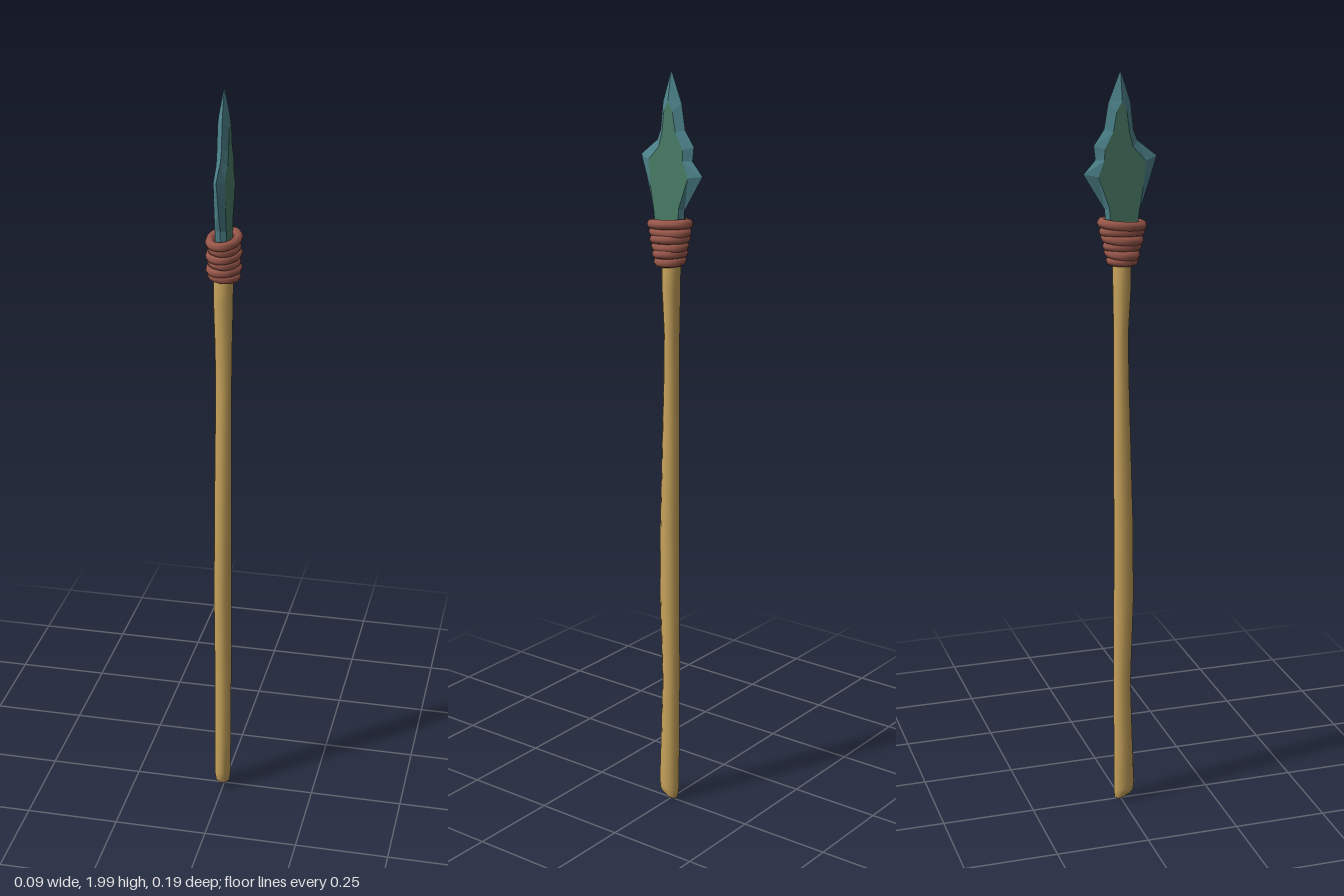
import * as THREE from 'three';
import { mergeVertices } from 'three/addons/utils/BufferGeometryUtils.js';

const mat = (color, flatShading = false) => new THREE.MeshStandardMaterial({ color, flatShading });

function add(group, name, geometry, material) {
  const mesh = new THREE.Mesh(geometry, material);
  mesh.name = name;
  group.add(mesh);
}

// Uneven wooden pole: each row is y, min x, max x, min z, max z
function shaftGeometry() {
  const rows = [
    [0.008, -0.012, 0.009, -0.012, 0.026],
    [0.016, -0.021, 0.016, -0.018, 0.036],
    [0.04, -0.025, 0.019, -0.02, 0.038],
    [0.18, -0.026, 0.02, -0.02, 0.033],
    [0.36, -0.026, 0.02, -0.021, 0.027],
    [0.6, -0.027, 0.021, -0.02, 0.035],
    [0.8, -0.026, 0.021, -0.019, 0.034],
    [1.0, -0.025, 0.02, -0.02, 0.028],
    [1.2, -0.023, 0.019, -0.019, 0.022],
    [1.33, -0.025, 0.02, -0.019, 0.019],
    [1.45, -0.028, 0.023, -0.021, 0.026],
    [1.59, -0.027, 0.024, -0.024, 0.028],
  ];
  const n = rows.length - 1;
  const geo = new THREE.CylinderGeometry(1, 1, 1, 12, n);
  const p = geo.attributes.position;
  for (let i = 0; i < p.count; i++) {
    const row = Math.round((p.getY(i) + 0.5) * n);
    const [y, x0, x1, z0, z1] = rows[row];
    const x = (x0 + x1) / 2 + p.getX(i) * (x1 - x0) / 2;
    const z = (z0 + z1) / 2 + p.getZ(i) * (z1 - z0) / 2;
    // the butt is cut at a slant
    p.setXYZ(i, x, y + (row < 3 ? (z + 0.012) * 0.4 : 0), z);
  }
  geo.deleteAttribute('normal');
  geo.deleteAttribute('uv');
  const smooth = mergeVertices(geo);
  smooth.computeVertexNormals();
  return smooth;
}

// One oval turn of cord, slightly tilted
function coilGeometry(y, rx, rz, cz, tiltX, tiltZ, turn) {
  const points = [];
  for (let i = 0; i < 12; i++) {
    const a = i / 12 * Math.PI * 2 + turn;
    const x = Math.cos(a) * rx, z = Math.sin(a) * rz;
    points.push(new THREE.Vector3(x, y + x * tiltX + z * tiltZ, z + cz));
  }
  return new THREE.TubeGeometry(new THREE.CatmullRomCurve3(points, true), 24, 0.0125, 8, true);
}

// Chipped stone outline and its flat inner panel, as [z, y], anticlockwise from +x
const rim = [
  [0, 2.0], [0.026, 1.92], [0.034, 1.85], [0.044, 1.825], [0.095, 1.785], [0.072, 1.71],
  [0.05, 1.65], [0.04, 1.55], [-0.036, 1.55], [-0.042, 1.655], [-0.097, 1.745],
  [-0.066, 1.78], [-0.07, 1.815], [-0.043, 1.855], [-0.032, 1.92],
];
const panel = [
  [0, 1.925], [0.012, 1.9], [0.019, 1.845], [0.029, 1.81], [0.062, 1.775], [0.055, 1.71],
  [0.045, 1.65], [0.034, 1.55], [-0.03, 1.55], [-0.033, 1.66], [-0.062, 1.74],
  [-0.046, 1.78], [-0.045, 1.808], [-0.023, 1.85], [-0.014, 1.9],
];
const HALF = 0.0145;

// Bevel running from the sharp rim up to the panel on one side
function bevelGeometry(side) {
  const pos = [];
  for (let i = 0; i < rim.length; i++) {
    const j = (i + 1) % rim.length;
    const a = [0, rim[i][1], rim[i][0]], b = [0, rim[j][1], rim[j][0]];
    const c = [side * HALF, panel[j][1], panel[j][0]], d = [side * HALF, panel[i][1], panel[i][0]];
    const tris = side > 0 ? [a, b, c, a, c, d] : [a, c, b, a, d, c];
    pos.push(...tris.flat());
  }
  const geo = new THREE.BufferGeometry();
  geo.setAttribute('position', new THREE.Float32BufferAttribute(pos, 3));
  geo.computeVertexNormals();
  return geo;
}

function panelGeometry(side) {
  const shape = new THREE.Shape(panel.map(([z, y]) => new THREE.Vector2(-side * z, y)));
  return new THREE.ShapeGeometry(shape).rotateY(side * Math.PI / 2).translate(side * HALF, 0, 0);
}

export function createModel() {
  const model = new THREE.Group();
  model.name = 'spear';

  add(model, 'shaft', shaftGeometry(), mat(0xc9a45c));

  // Cord binding, widening toward the blade
  const binding = new THREE.Group();
  binding.name = 'binding';
  const cord = mat(0x98574a);
  const count = 6;
  for (let i = 0; i < count; i++) {
    const t = i / (count - 1);
    const wobble = i % 2 ? 1 : -1;
    add(binding, 'cordTurn' + (i + 1), coilGeometry(
      1.523 + t * 0.094, 0.032 + 0.002 * wobble, 0.029 + t * 0.024, 0.004,
      0.06 * wobble, -0.06 - 0.03 * wobble, i * 0.4), cord);
  }
  model.add(binding);

  // Stone blade
  const blade = new THREE.Group();
  blade.name = 'blade';
  const edge = mat(0x4d838c, true), face = mat(0x4a7d68, true);
  for (const side of [1, -1]) {
    const label = side > 0 ? 'left' : 'right';
    add(blade, label + 'BladeBevel', bevelGeometry(side), edge);
    add(blade, label + 'BladeFace', panelGeometry(side), face);
  }
  model.add(blade);

  return model;
}
